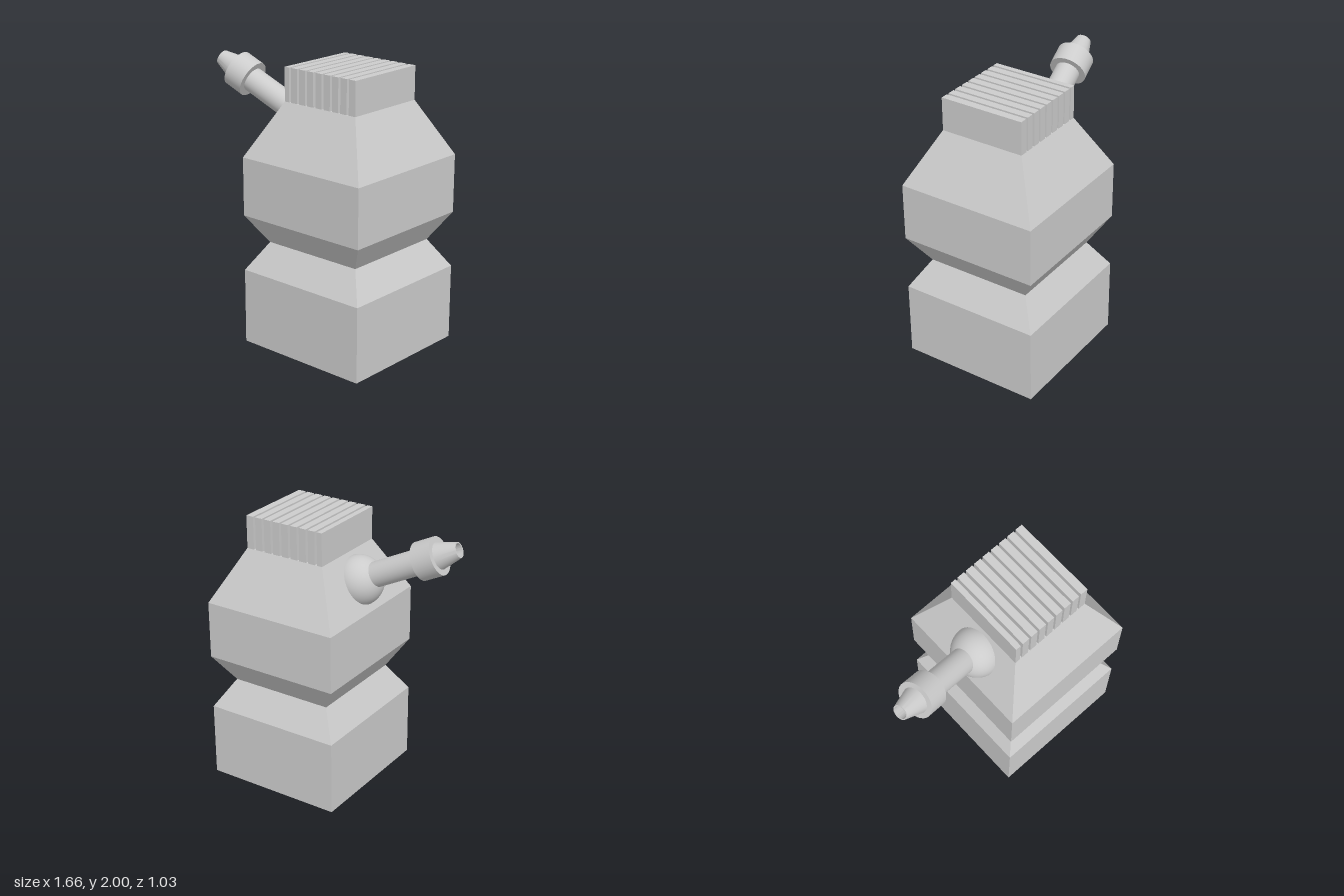
import * as THREE from 'three';
import { toCreasedNormals } from 'three/addons/utils/BufferGeometryUtils.js';

const CENTER_X = 0.31;

export function createModel() {
  const model = new THREE.Group();
  model.name = 'bottle';
  const flat = new THREE.MeshStandardMaterial({ color: 0xcccccc, flatShading: true });
  const smooth = new THREE.MeshStandardMaterial({ color: 0xcccccc });

  const add = (name, geometry, material, parent = model) => {
    const mesh = new THREE.Mesh(geometry, material);
    mesh.name = name;
    parent.add(mesh);
    return mesh;
  };

  // Square body with pinched waist and tapered shoulders: [half width, height]
  const profile = [[0, 0], [0.517, 0], [0.517, 0.545], [0.39, 0.75], [0.517, 0.95],
    [0.517, 1.37], [0.312, 1.76], [0, 1.76]]
    .map(([h, y]) => new THREE.Vector2(h * Math.SQRT2, y));
  const body = add('body', new THREE.LatheGeometry(profile, 4, Math.PI / 4), flat);
  body.position.x = CENTER_X;

  // Neck cut by eight through slots into nine fins
  const neck = new THREE.Group();
  neck.name = 'slottedNeck';
  model.add(neck);
  const slotWidth = 0.018;
  let start = CENTER_X - 0.312;
  for (let i = 0; i < 9; i++) {
    const slot = 0.047 + i * 0.0728;
    const end = i < 8 ? slot - slotWidth / 2 : CENTER_X + 0.312;
    const fin = add('neckFin', new THREE.BoxGeometry(end - start, 0.24, 0.624), flat, neck);
    fin.position.set((start + end) / 2, 1.88, 0);
    start = slot + slotWidth / 2;
  }

  // Ball joint half sunk in the right shoulder
  const ball = add('spoutBall', new THREE.SphereGeometry(0.181, 48, 32), smooth);
  ball.position.set(-0.08, 1.563, 0.025);

  // Spout: pipe, collar and hollow tapered tip, turned around a tilted axis
  const spoutProfile = [[0.09, 0], [0.09, 0.488], [0.135, 0.488], [0.135, 0.639],
    [0.095, 0.639], [0.055, 0.79], [0.046, 0.79], [0.046, 0.1], [0, 0.1]]
    .map(([r, y]) => new THREE.Vector2(r, y));
  const spout = add('spout',
    toCreasedNormals(new THREE.LatheGeometry(spoutProfile, 48), 0.4), smooth);
  spout.position.set(-0.1, 1.58, 0.018);
  spout.quaternion.setFromUnitVectors(new THREE.Vector3(0, 1, 0),
    new THREE.Vector3(-1, 0.48, 0.132).normalize());

  return model;
}
